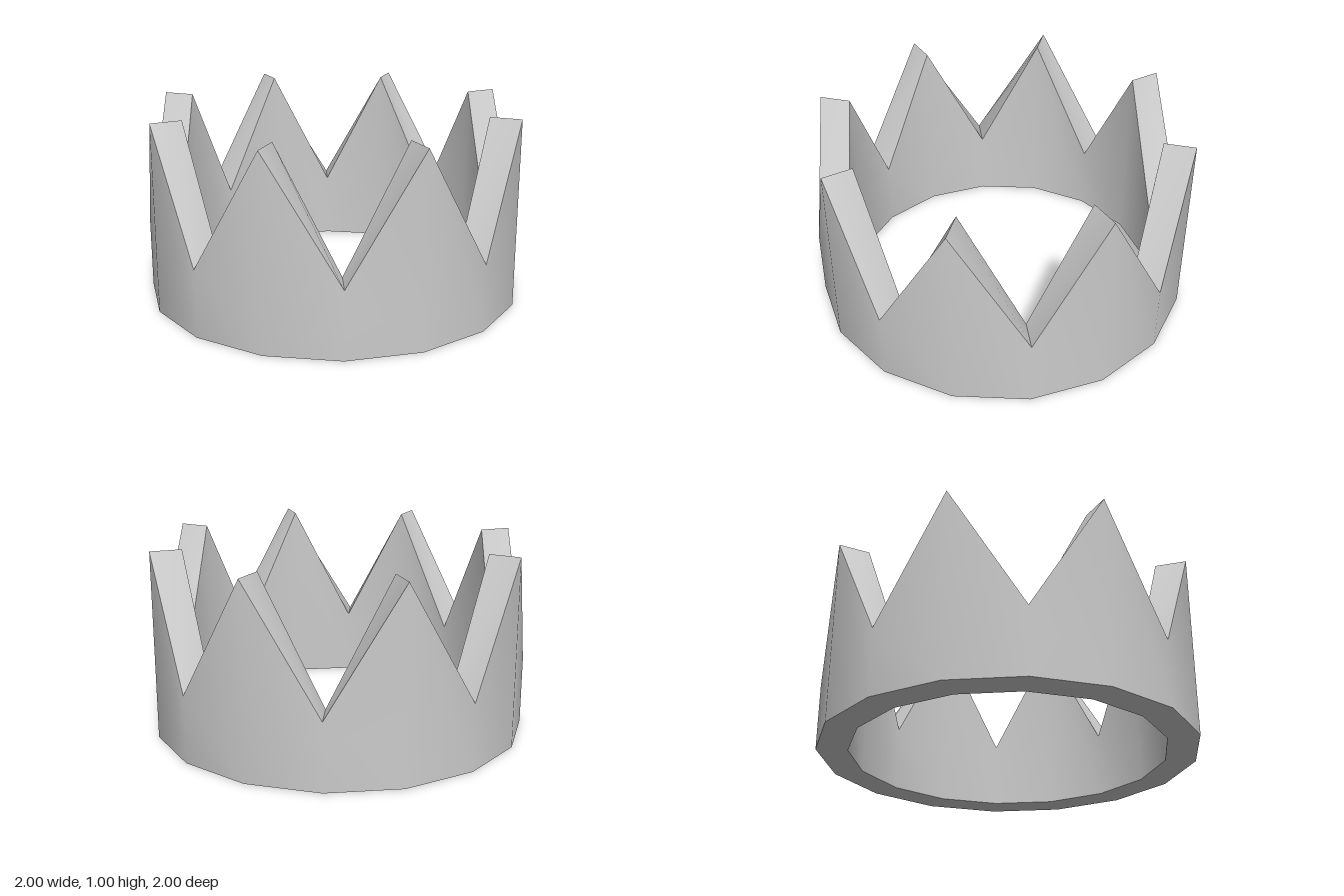
import * as THREE from 'three';
import { toCreasedNormals } from 'three/addons/utils/BufferGeometryUtils.js';

const SIDES = 16;
const OUTER = 1;
const INNER = 0.835;
const PEAK = 1;
const VALLEY = 0.355;

export function createModel() {
  const group = new THREE.Group();
  group.name = 'crown';

  // Closed rectangular section turned into a 16-sided ring
  const section = [
    [INNER, 0], [OUTER, 0], [OUTER, PEAK], [INNER, PEAK], [INNER, 0],
  ].map(([r, y]) => new THREE.Vector2(r, y));
  const ring = new THREE.LatheGeometry(section, SIDES);

  // Lower the rim at every second corner to cut eight pointed teeth
  const pos = ring.attributes.position;
  for (let i = 0; i < pos.count; i++) {
    const corner = Math.floor(i / section.length);
    if (pos.getY(i) > 0.5 && corner % 2 === 0) pos.setY(i, VALLEY);
  }

  // Smooth round walls, sharp rim and base edges
  const band = new THREE.Mesh(
    toCreasedNormals(ring, 0.5),
    new THREE.MeshStandardMaterial({ color: 0xcccccc }),
  );
  band.name = 'toothedBand';
  group.add(band);
  return group;
}
